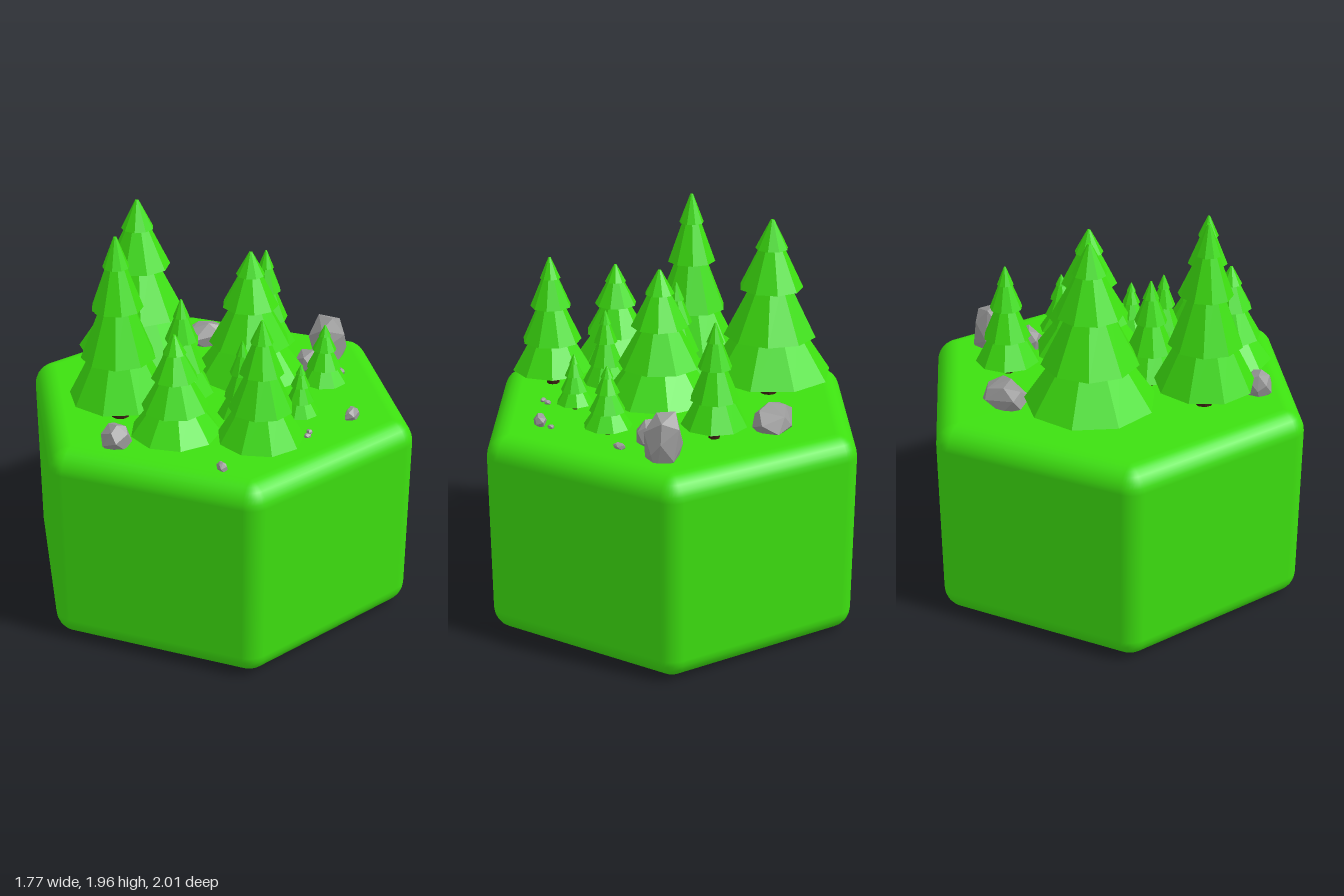
import * as THREE from 'three';
import { ConvexGeometry } from 'three/addons/geometries/ConvexGeometry.js';

const GROUND = 1.03;

// Hexagonal prism with every edge rounded: a hexagon swept by a ball
function roundedHexGeometry(apothem, height, r, steps = 6) {
  const pos = [], nor = [], idx = [];
  const inner = (apothem - r) / Math.cos(Math.PI / 6);
  const ring = 6 * (steps + 1), rows = 2 * (steps + 1);
  for (let j = 0; j < rows; j++) {
    const upper = j > steps;
    const phi = upper ? ((j - steps - 1) / steps) * Math.PI / 2 : (j / steps - 1) * Math.PI / 2;
    const cy = upper ? height - r : r;
    for (let k = 0; k < 6; k++) {
      const c = k * Math.PI / 3;
      for (let s = 0; s <= steps; s++) {
        const a = c + (s / steps - 0.5) * Math.PI / 3;
        const n = [Math.sin(a) * Math.cos(phi), Math.sin(phi), Math.cos(a) * Math.cos(phi)];
        nor.push(...n);
        pos.push(Math.sin(c) * inner + r * n[0], cy + r * n[1], Math.cos(c) * inner + r * n[2]);
      }
    }
  }
  for (let j = 0; j < rows - 1; j++) {
    for (let i = 0; i < ring; i++) {
      const a = j * ring + i, b = j * ring + (i + 1) % ring;
      idx.push(a, b, b + ring, a, b + ring, a + ring);
    }
  }
  // Flat caps as fans
  const bottom = pos.length / 3;
  pos.push(0, 0, 0, 0, height, 0);
  nor.push(0, -1, 0, 0, 1, 0);
  const last = (rows - 1) * ring;
  for (let i = 0; i < ring; i++) {
    const n = (i + 1) % ring;
    idx.push(bottom, n, i, bottom + 1, last + i, last + n);
  }
  const g = new THREE.BufferGeometry();
  g.setAttribute('position', new THREE.Float32BufferAttribute(pos, 3));
  g.setAttribute('normal', new THREE.Float32BufferAttribute(nor, 3));
  g.setIndex(idx);
  return g;
}

// Small seeded random generator
function seeded(seed) {
  let s = seed * 7919 + 17;
  return () => (s = (s * 16807) % 2147483647) / 2147483647;
}

export function createModel() {
  const grass = new THREE.MeshStandardMaterial({ color: 0x3de010 });
  grass.name = 'grass green';
  const foliage = new THREE.MeshStandardMaterial({ color: 0x3de010, flatShading: true });
  foliage.name = 'foliage green';
  const bark = new THREE.MeshStandardMaterial({ color: 0x3a2010, flatShading: true });
  bark.name = 'bark brown';
  const stone = new THREE.MeshStandardMaterial({ color: 0x999999, flatShading: true });
  stone.name = 'stone grey';

  const model = new THREE.Group();
  model.name = 'forestTile';

  const add = (parent, name, geometry, material, x, y, z) => {
    const mesh = new THREE.Mesh(geometry, material);
    mesh.name = name;
    mesh.position.set(x, y, z);
    parent.add(mesh);
    return mesh;
  };

  add(model, 'hexBase', roundedHexGeometry(0.885, GROUND, 0.11), grass, 0, 0, 0);

  // Tiers as fractions: bottom height, top height, bottom radius, top radius
  const tiers = [
    [0.125, 0.40, 1.0, 0.47],
    [0.35, 0.66, 0.74, 0.28],
    [0.62, 0.88, 0.51, 0.15],
    [0.84, 1.0, 0.26, 0.03],
  ];

  // Trees: x, z, height, radius
  const trees = [
    [-0.49, 0.11, 0.90, 0.315],
    [-0.10, 0.53, 0.925, 0.245],
    [0.06, -0.16, 0.725, 0.275],
    [0.615, 0.25, 0.67, 0.205],
    [0.295, 0.50, 0.56, 0.215],
    [-0.20, -0.49, 0.57, 0.16],
    [-0.02, 0.21, 0.55, 0.16],
    [0.335, 0.125, 0.43, 0.118],
    [0.305, -0.44, 0.34, 0.118],
    [0.48, -0.12, 0.285, 0.092],
  ];
  trees.forEach(([x, z, h, r], i) => {
    const tree = new THREE.Group();
    tree.name = 'tree' + (i + 1);
    tree.position.set(x, GROUND, z);
    tree.rotation.y = i * 1.3;
    const trunkH = h * 0.3;
    add(tree, 'trunk', new THREE.CylinderGeometry(h * 0.042, h * 0.048, trunkH, 8), bark, 0, trunkH / 2 - 0.01, 0);
    tiers.forEach(([y0, y1, r0, r1], t) => {
      const cone = new THREE.CylinderGeometry(r * r1, r * r0, (y1 - y0) * h, 9);
      add(tree, 'foliageTier' + (t + 1), cone, foliage, 0, (y0 + y1) / 2 * h, 0).rotation.y = t * 0.25;
    });
    model.add(tree);
  });

  // Rocks: x, z, half width, half depth, height, turn
  const rocks = [
    [0.04, -0.72, 0.10, 0.105, 0.23, 0],
    [0.10, -0.54, 0.075, 0.085, 0.11, 0.2],
    [-0.49, -0.35, 0.10, 0.145, 0.12, -0.5],
    [0.125, 0.725, 0.072, 0.075, 0.12, 0],
    [0.635, -0.32, 0.033, 0.05, 0.055, 0.2],
    [0.245, -0.62, 0.032, 0.02, 0.03, -0.4],
    [0.625, 0.49, 0.035, 0.023, 0.04, -0.2],
    [0.62, -0.055, 0.018, 0.015, 0.02, 0],
    [0.645, -0.02, 0.017, 0.02, 0.02, 0],
    [0.58, -0.375, 0.018, 0.015, 0.02, 0],
  ];
  rocks.forEach(([x, z, w, d, h, turn], i) => {
    const rand = seeded(i + 3);
    const points = [];
    // Points spiralling over a ball, jittered, hulled into facets
    for (let k = 0; k < 18; k++) {
      const y = 1 - (k + 0.5) / 9;
      const a = k * 2.4 + rand() * 0.6;
      const f = 0.92 + rand() * 0.16, q = Math.sqrt(1 - y * y) * f;
      points.push(new THREE.Vector3(Math.cos(a) * q * w, (0.3 + 0.72 * y * f) * h, Math.sin(a) * q * d));
    }
    add(model, 'rock' + (i + 1), new ConvexGeometry(points), stone, x, GROUND, z).rotation.y = turn;
  });

  return model;
}
